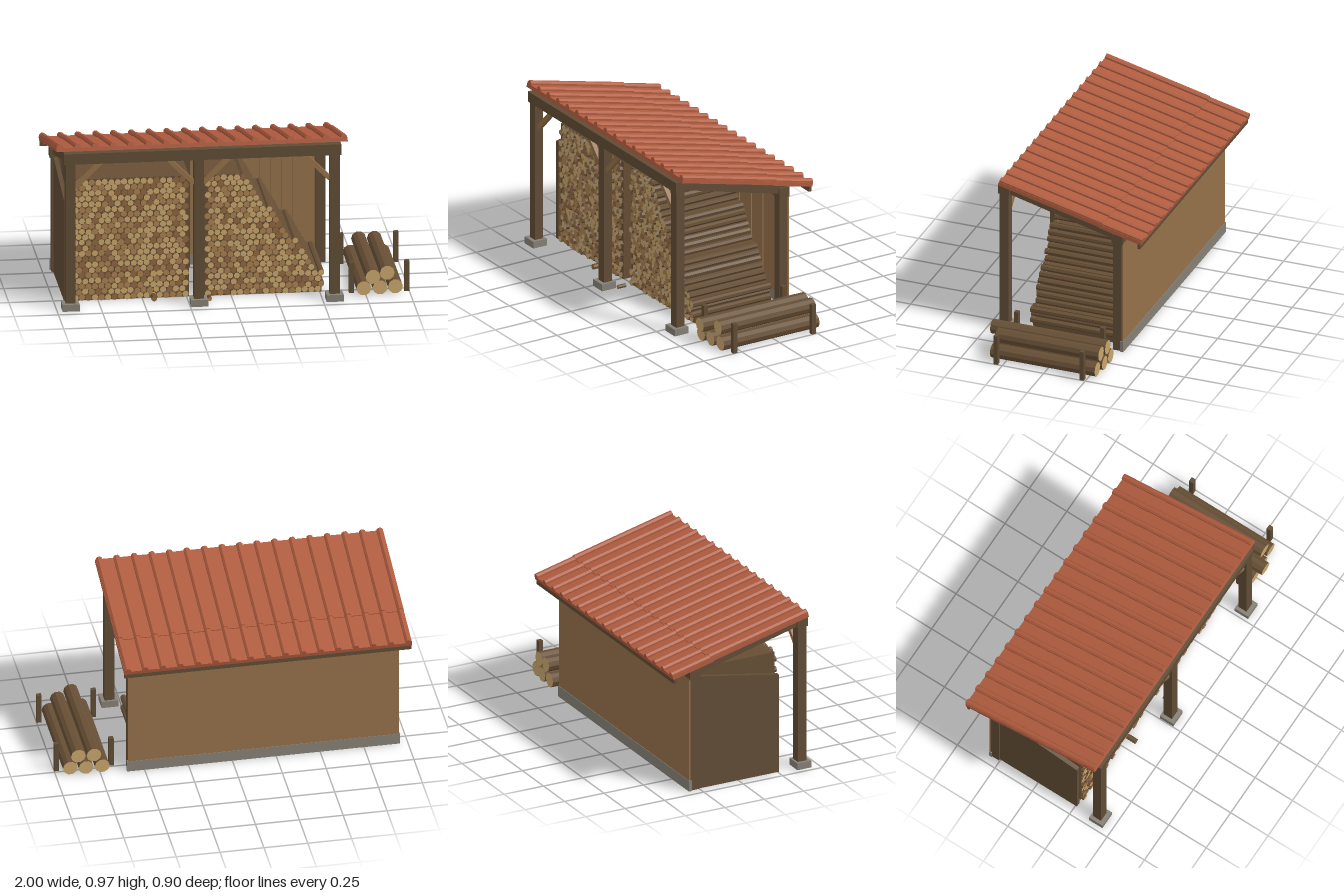
import * as THREE from 'three';

const mat = (name, color) => {
  const m = new THREE.MeshStandardMaterial({ color });
  m.name = name;
  return m;
};

export function createModel() {
  const model = new THREE.Group();
  model.name = 'firewoodShelter';

  const timber = mat('darkTimber', 0x604c35);
  const bark = mat('bark', 0x664e34);
  const board = mat('wallBoard', 0x94704a);
  const roofRed = mat('roofTile', 0xb05c3f);
  const stone = mat('stone', 0x858075);
  const cuts = [mat('paleCutWood', 0xc8a56c), mat('tanCutWood', 0xa98050), mat('brownCutWood', 0x8f663f)];

  let seed = 7;
  const rand = () => {
    seed = (seed * 16807) % 2147483647;
    return seed / 2147483647;
  };

  const group = (name, parent = model) => {
    const g = new THREE.Group();
    g.name = name;
    parent.add(g);
    return g;
  };
  const add = (parent, name, geometry, material) => {
    const m = new THREE.Mesh(geometry, material);
    m.name = name;
    parent.add(m);
    return m;
  };
  // Box given by its lower and upper limits on each axis
  const box = (parent, name, material, x0, x1, y0, y1, z0, z1) => {
    const m = add(parent, name, new THREE.BoxGeometry(x1 - x0, y1 - y0, z1 - z0), material);
    m.position.set((x0 + x1) / 2, (y0 + y1) / 2, (z0 + z1) / 2);
    return m;
  };
  // Log lying along z, with bark sides and cut ends
  const log = (parent, name, x, y, z0, z1, r, sides, cut, turn = 0) => {
    const g = new THREE.CylinderGeometry(r, r, z1 - z0, sides).toNonIndexed();
    g.rotateY(turn).rotateX(Math.PI / 2);
    g.computeVertexNormals();
    const m = add(parent, name, g, [bark, cut, cut]);
    m.position.set(x, y, (z0 + z1) / 2);
    return m;
  };
  // Side outline given as [z, y] points, extruded along x
  const sidePlate = (parent, name, material, points, x0, x1) => {
    const shape = new THREE.Shape(points.map(([z, y]) => new THREE.Vector2(-z, y)));
    const g = new THREE.ExtrudeGeometry(shape, { depth: x1 - x0, bevelEnabled: false });
    g.rotateY(Math.PI / 2);
    add(parent, name, g, material).position.x = x0;
  };

  // Posts, footings and rafters
  const frame = group('frame');
  const postX = [-0.922, -0.198, 0.566];
  for (const x of postX) {
    box(frame, 'footing', stone, x - 0.048, x + 0.048, 0, 0.04, 0.36, 0.45);
    box(frame, 'frontPost', timber, x - 0.028, x + 0.028, 0.04, 0.87, 0.373, 0.427);
    box(frame, 'backPost', timber, x - 0.028, x + 0.028, 0.002, 0.68, -0.307, -0.255);
    sidePlate(frame, 'rafter', timber,
      [[0.37, 0.862], [0.37, 0.91], [-0.3, 0.737], [-0.3, 0.688]], x - 0.024, x + 0.024);
  }
  box(frame, 'frontBeam', timber, -0.96, 0.602, 0.86, 0.922, 0.367, 0.433);
  box(frame, 'backBeam', timber, -0.96, 0.602, 0.675, 0.735, -0.316, -0.25);
  box(frame, 'eaveBatten', timber, -0.998, 0.638, 0.692, 0.727, -0.437, -0.421);

  // Diagonal braces beside the posts
  const brace = (x, side) => {
    const m = add(frame, 'brace', new THREE.BoxGeometry(0.026, 0.21, 0.026), board);
    m.position.set(x + side * 0.1, 0.79, 0.4);
    m.rotation.z = -side * Math.PI / 4;
  };
  brace(postX[0], 1);
  brace(postX[1], -1);
  brace(postX[1], 1);
  brace(postX[2], -1);

  // Back wall with inner boards, plinth and the closed end
  const walls = group('walls');
  box(walls, 'backPanel', board, -0.95, 0.594, 0.06, 0.68, -0.317, -0.308);
  for (let i = 0; i < 25; i++) {
    const x = -0.95 + i * 0.0618;
    box(walls, 'innerBoard', board, x + 0.002, x + 0.06, 0.06, 0.69, -0.309, i % 2 ? -0.302 : -0.299);
  }
  box(walls, 'plinth', stone, -0.955, 0.6, 0, 0.064, -0.32, -0.3);
  sidePlate(walls, 'endPanel', timber, [[-0.3, 0], [0.26, 0], [0.26, 0.59], [-0.3, 0.69]], -0.94, -0.915);

  // Sloping tiled roof in two courses
  const roof = group('roof');
  roof.position.set(-0.18, 0.825, -0.012);
  roof.rotation.x = -0.238;
  const course = (name, z0, z1, lift) => {
    box(roof, name, roofRed, -0.82, 0.82, lift, 0.022 + lift, z0, z1);
    for (let i = 0; i < 17; i++) {
      const g = new THREE.CylinderGeometry(0.019, 0.019, z1 - z0, 8).toNonIndexed();
      g.rotateY(Math.PI / 8).rotateX(Math.PI / 2);
      g.computeVertexNormals();
      add(roof, 'rollTile', g, roofRed).position.set(-0.8 + i * 0.1, 0.025 + lift, (z0 + z1) / 2);
    }
  };
  course('upperCourse', -0.194, 0.443, 0.003);
  course('lowerCourse', -0.443, -0.18, -0.002);

  // Stacked firewood: rows of log ends in front of a solid core
  const pitch = 0.0365, rowStep = 0.0322, radius = 0.0187;
  const stack = (name, x0, edge) => {
    const g = group(name);
    for (let row = 0; row < 22; row++) {
      const y = radius + row * rowStep;
      const right = edge(y);
      for (let x = x0 + radius + (row % 2) * pitch / 2; x + radius * 0.8 < right; x += pitch) {
        const cut = cuts[rand() < 0.52 ? 0 : rand() < 0.68 ? 1 : 2];
        const atEdge = x + pitch + radius * 0.8 >= right;
        log(g, 'log', x, y, atEdge ? -0.245 : 0.24, 0.258 + rand() * 0.018,
          radius * (0.93 + rand() * 0.08), 7, cut, rand() * 6);
      }
    }
    return g;
  };
  const full = stack('fullStack', -0.895, () => -0.232);
  box(full, 'stackCore', bark, -0.895, -0.235, 0, 0.712, -0.25, 0.255);

  const slope = (y) => Math.min(0.535, 0.085 + (0.7 - y) * 0.75);
  const stepped = stack('steppedStack', -0.15, slope);
  for (let i = 0; i < 11; i++) {
    const y0 = i * 0.0644, y1 = y0 + 0.0644;
    box(stepped, 'stackStep', bark, -0.15, slope(y1) - 0.025, y0, y1, -0.25, 0.255);
  }

  // Loose billets on the ground
  log(model, 'looseBillet', -0.44, 0.017, 0.27, 0.33, 0.016, 7, cuts[2]);
  log(model, 'looseBillet', -0.13, 0.013, 0.31, 0.36, 0.012, 7, cuts[1]);

  // Long logs held between stakes
  const pile = group('longLogPile');
  const long = [
    [0.738, 0.042, 0.355, -0.3], [0.83, 0.042, 0.35, -0.3], [0.918, 0.042, 0.34, -0.29],
    [0.785, 0.119, 0.392, -0.3], [0.873, 0.119, 0.328, -0.295],
  ];
  for (const [x, y, z1, z0] of long) log(pile, 'longLog', x, y, z0, z1, 0.042, 10, cuts[0], 0.3);
  for (const x of [0.675, 0.986]) {
    for (const z of [0.29, -0.228]) {
      box(pile, 'stake', timber, x - 0.014, x + 0.014, 0, 0.178, z - 0.013, z + 0.013);
    }
  }
  return model;
}
